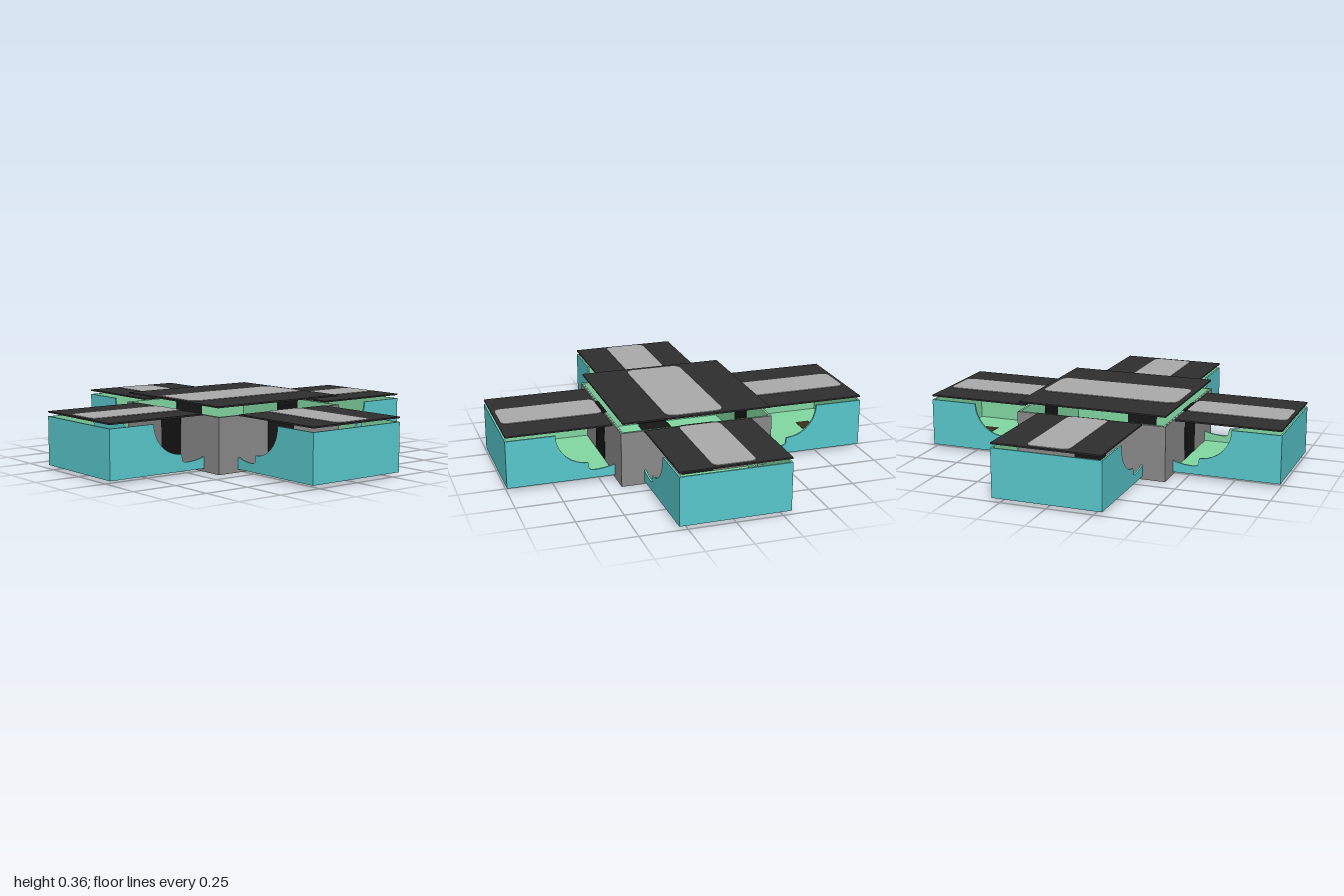
import * as THREE from 'three';

const paint = (color) => new THREE.MeshStandardMaterial({ color, side: THREE.DoubleSide });
const M = {
  teal: paint(0x58c8cc), green: paint(0x82d8a2), grey: paint(0x8a8a8a),
  black: paint(0x2e2e2e), glass: paint(0xaaaaaa), brown: paint(0x3a2e18), dark: paint(0x161616),
};

function add(parent, name, geometry, material, x = 0, y = 0, z = 0) {
  const mesh = new THREE.Mesh(geometry, material);
  mesh.name = name;
  mesh.position.set(x, y, z);
  parent.add(mesh);
  return mesh;
}

const box = (parent, name, material, w, h, d, x, y, z) =>
  add(parent, name, new THREE.BoxGeometry(w, h, d), material, x, y, z);

// Flat slab with rounded corners, lying in the xz plane
function roundedSlab(w, d, h, r) {
  const x = w / 2, z = d / 2, s = new THREE.Shape();
  s.moveTo(-x + r, -z).lineTo(x - r, -z).quadraticCurveTo(x, -z, x, -z + r);
  s.lineTo(x, z - r).quadraticCurveTo(x, z, x - r, z);
  s.lineTo(-x + r, z).quadraticCurveTo(-x, z, -x, z - r);
  s.lineTo(-x, -z + r).quadraticCurveTo(-x, -z, -x + r, -z);
  const g = new THREE.ExtrudeGeometry(s, { depth: h, bevelEnabled: false, curveSegments: 6 });
  return g.rotateX(-Math.PI / 2);
}

// Side panel of a tray with the scooped cut beside the hub
function sidePanel(t) {
  const s = new THREE.Shape();
  s.moveTo(0.42, 0.02).lineTo(1, 0.02).lineTo(1, 0.28).lineTo(0.735, 0.28);
  s.absarc(0.565, 0.28, 0.17, 0, -Math.PI / 2, true);
  s.quadraticCurveTo(0.56, 0.1, 0.56, 0.08);
  s.quadraticCurveTo(0.555, 0.065, 0.53, 0.065);
  s.quadraticCurveTo(0.47, 0.066, 0.42, 0.082);
  return new THREE.ExtrudeGeometry(s, { depth: t, bevelEnabled: false, curveSegments: 14 });
}

// One tray pointing along +x
function makeArm() {
  const arm = new THREE.Group();
  arm.name = 'arm';
  const t = 0.005;
  for (const side of [1, -1]) {
    add(arm, 'traySide', sidePanel(t), M.teal, 0, 0, side * 0.2925 - t / 2);
    add(arm, 'traySideLining', sidePanel(t), M.green, -0.001, 0, side * 0.2875 - t / 2);
  }
  box(arm, 'trayEnd', M.teal, t, 0.26, 0.59, 0.9975, 0.15, 0);
  box(arm, 'trayEndLining', M.green, t, 0.26, 0.575, 0.9925, 0.15, 0);
  box(arm, 'trayFloor', M.green, 0.575, 0.008, 0.588, 0.7085, 0.024, 0);
  box(arm, 'floorSlot', M.brown, 0.08, 0.012, 0.2, 0.83, 0.024, 0);
  // Lid and its window
  box(arm, 'trayLid', M.black, 0.57, 0.008, 0.59, 0.714, 0.303, 0);
  add(arm, 'lidWindow', roundedSlab(0.55, 0.23, 0.004, 0.04), M.glass, 0.706, 0.306, 0);
  // Hub wall facing this tray, with its dark doorway and floor opening
  box(arm, 'hubWall', M.grey, 0.007, 0.298, 0.836, 0.4145, 0.151, 0);
  box(arm, 'hubWallLining', M.green, 0.007, 0.299, 0.82, 0.4075, 0.1515, 0);
  box(arm, 'doorway', M.dark, 0.018, 0.3, 0.18, 0.411, 0.152, 0);
  add(arm, 'floorOpening', roundedSlab(0.15, 0.18, 0.014, 0.055), M.dark, 0.342, 0, 0);
  return arm;
}

export function createModel() {
  const model = new THREE.Group();
  model.name = 'crossBox';
  for (let i = 0; i < 4; i++) {
    const arm = makeArm();
    arm.rotation.y = i * Math.PI / 2;
    model.add(arm);
  }
  // Hub floor and raised lid
  box(model, 'hubFloor', M.green, 0.834, 0.01, 0.834, 0, 0.007, 0);
  box(model, 'hubFloorWindow', M.brown, 0.2, 0.014, 0.2, 0, 0.008, 0);
  box(model, 'hubLid', M.black, 0.815, 0.008, 0.83, 0, 0.35, 0);
  add(model, 'hubLidWindow', roundedSlab(0.32, 0.78, 0.004, 0.055), M.glass, 0, 0.353, 0);
  return model;
}
